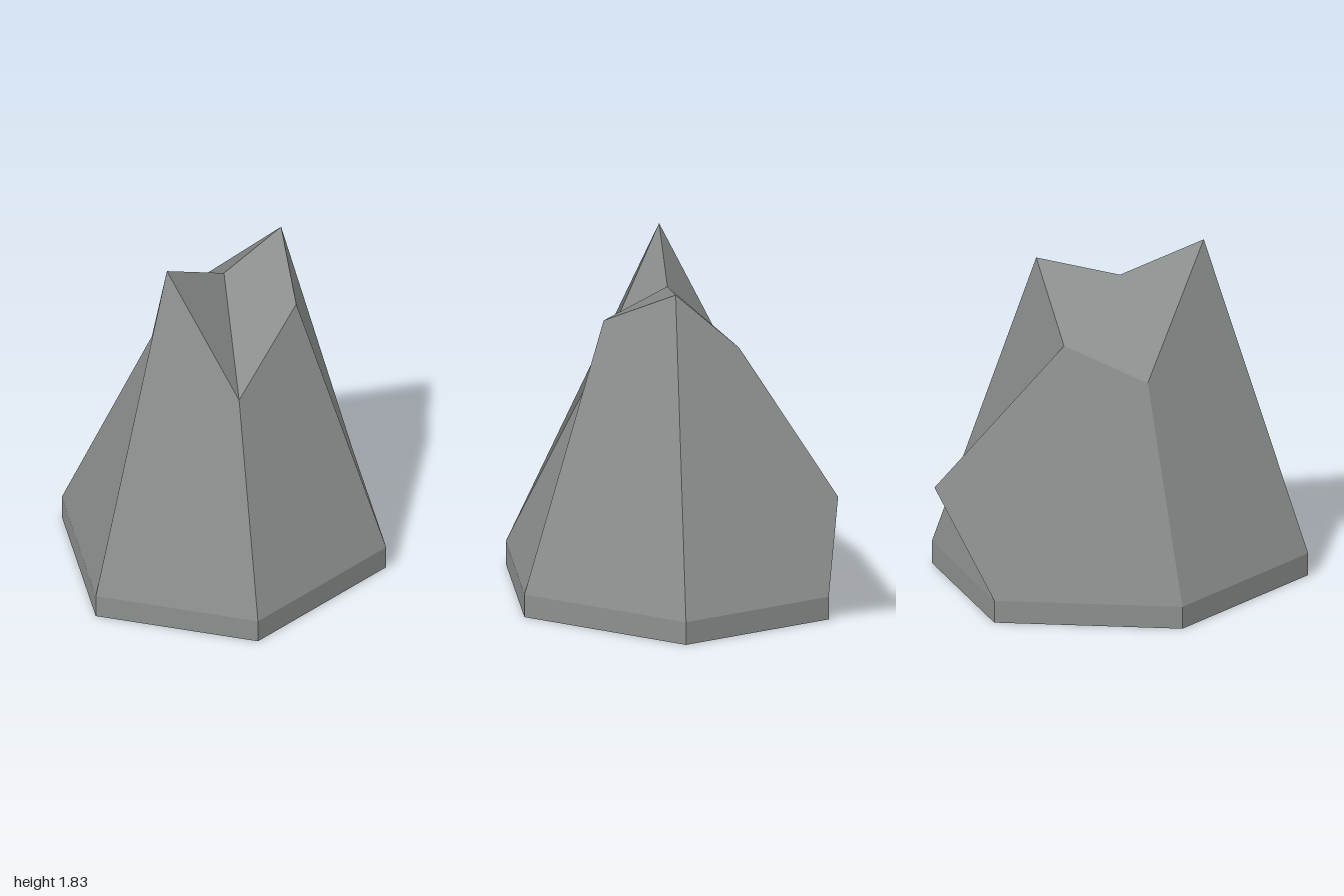
import * as THREE from 'three';

// One mesh from polygons: each is fanned from its first corner and shaded as a single facet.
function facetMesh(name, polygons, material) {
  const positions = [], normals = [];
  for (const poly of polygons) {
    const normal = new THREE.Vector3();
    poly.forEach((p, i) => normal.add(p.clone().cross(poly[(i + 1) % poly.length])));
    normal.normalize();
    for (let i = 1; i < poly.length - 1; i++) {
      for (const p of [poly[0], poly[i], poly[i + 1]]) {
        positions.push(p.x, p.y, p.z);
        normals.push(normal.x, normal.y, normal.z);
      }
    }
  }
  const geometry = new THREE.BufferGeometry();
  geometry.setAttribute('position', new THREE.Float32BufferAttribute(positions, 3));
  geometry.setAttribute('normal', new THREE.Float32BufferAttribute(normals, 3));
  const mesh = new THREE.Mesh(geometry, material);
  mesh.name = name;
  return mesh;
}

// Six corners of a hexagon with pointed left and right ends; one height per corner.
const CENTRE_Z = 0.14;
function hexRing(radius, heights) {
  const xs = [1, 0.5, -0.5, -1, -0.5, 0.5];
  const zs = [0, -1, -1, 0, 1, 1];
  return xs.map((x, i) => new THREE.Vector3(x * radius, heights[i], CENTRE_Z + zs[i] * radius));
}

export function createModel() {
  const group = new THREE.Group();
  group.name = 'rock';
  const stone = new THREE.MeshStandardMaterial({ color: 0x8c908e });
  stone.name = 'stone grey';

  const foot = hexRing(0.86, Array(6).fill(0));
  const shoulder = hexRing(0.86, Array(6).fill(0.12));
  const rim = hexRing(0.383, [1.5, 1.7, 1.36, 1.17, 1.83, 1.12]);
  const peak = new THREE.Vector3(0, 1.62, CENTRE_Z);
  const spur = new THREE.Vector3(-0.31, 0.74, -1); // sharp point jutting from the back left edge
  const spurCorner = 2;

  // Upright plinth and its underside
  const plinth = [[...foot].reverse()];
  // Sloping sides; the two beside the spur take it in as an extra corner
  const sides = [];
  for (let i = 0; i < 6; i++) {
    const j = (i + 1) % 6;
    plinth.push([foot[j], shoulder[j], shoulder[i], foot[i]]);
    const side = [shoulder[j]];
    if (j === spurCorner) side.push(spur);
    side.push(rim[j], rim[i]);
    if (i === spurCorner) side.push(spur);
    side.push(shoulder[i]);
    sides.push(side);
  }

  // Broken top: right facet, front notch and left facet
  const crown = [
    [peak, rim[5], rim[0], rim[1]],
    [peak, rim[4], rim[5]],
    [peak, rim[1], rim[2], rim[3], rim[4]],
  ];

  group.add(
    facetMesh('plinth', plinth, stone),
    facetMesh('slopingSides', sides, stone),
    facetMesh('brokenTop', crown, stone),
  );
  return group;
}
